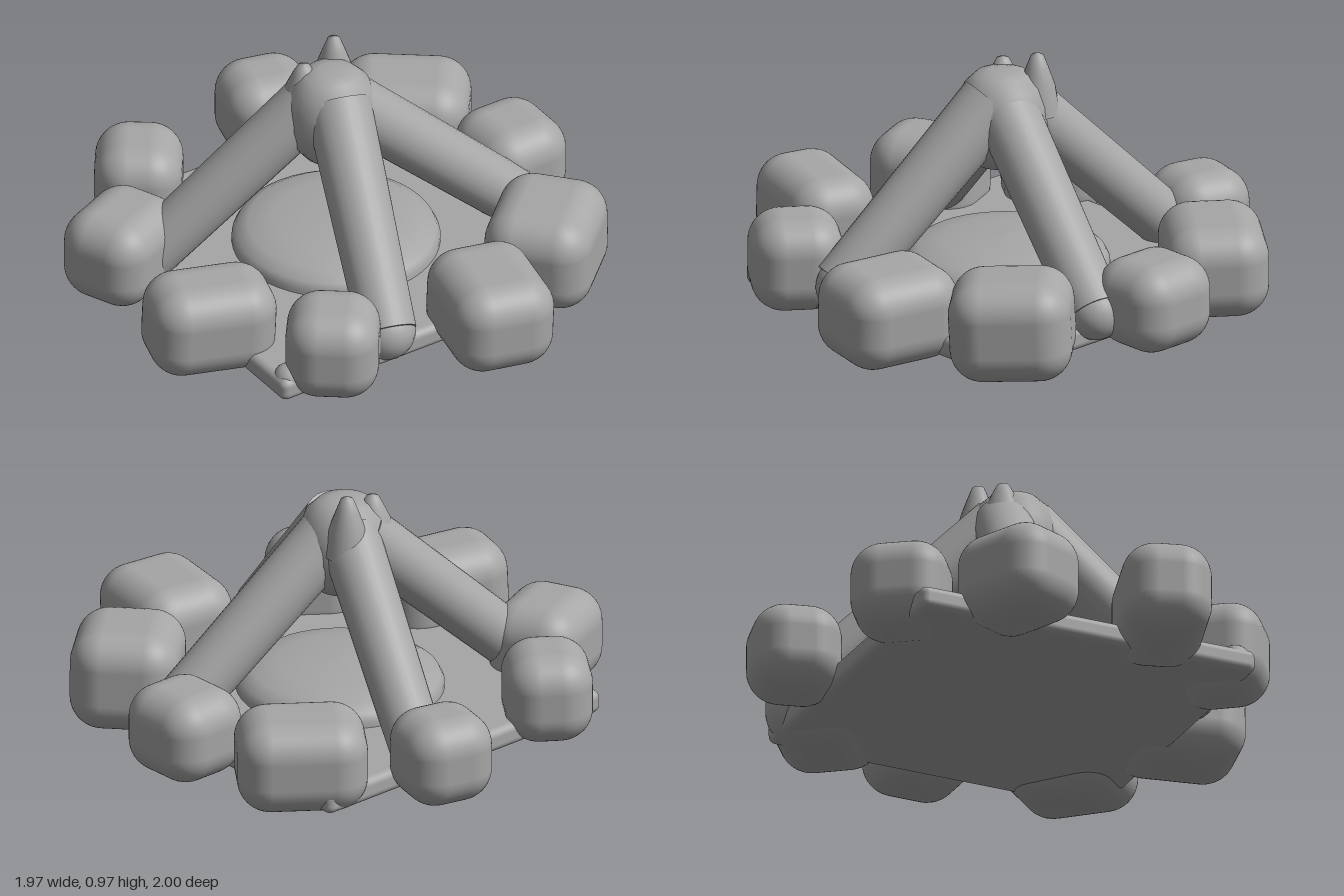
import * as THREE from 'three';
import { RoundedBoxGeometry } from 'three/addons/geometries/RoundedBoxGeometry.js';

const stoneGrey = new THREE.MeshStandardMaterial({ color: 0xa6a6a6 });
stoneGrey.name = 'stoneGrey';

export function createModel() {
  const group = new THREE.Group();
  group.name = 'campfire';

  const add = (name, geometry, x, y, z) => {
    const mesh = new THREE.Mesh(geometry, stoneGrey);
    mesh.name = name;
    mesh.position.set(x, y, z);
    group.add(mesh);
    return mesh;
  };

  const lathe = (points, sides) =>
    new THREE.LatheGeometry(points.map(([r, y]) => new THREE.Vector2(r, y)), sides);

  // Square ground slab
  add('groundSlab', new RoundedBoxGeometry(1.37, 0.09, 1.38, 3, 0.03), 0, 0.095, -0.03);

  // Round cushion of ash
  const moundProfile = [[0.39, 0.11], [0.39, 0.16], [0.375, 0.19], [0.33, 0.22], [0.24, 0.24], [0.12, 0.25], [0, 0.255]];
  add('ashMound', lathe(moundProfile, 48), 0.01, 0, -0.03);

  // Ring of stones: x, z, width, depth, turn, bottom, top, tilt
  const stones = [
    [0.22, -0.825, 0.35, 0.34, -0.25, 0.03, 0.375, 0],
    [0.635, -0.505, 0.49, 0.39, -0.65, 0.03, 0.385, 0],
    [0.8, -0.04, 0.36, 0.38, 0, 0.045, 0.385, 0],
    [0.6, 0.5, 0.46, 0.41, 0.72, 0.015, 0.4, 0.05],
    [0.185, 0.745, 0.4, 0.475, -0.2, 0.03, 0.39, -0.04],
    [-0.44, 0.625, 0.35, 0.35, -0.65, 0.03, 0.39, 0],
    [-0.74, 0.24, 0.485, 0.34, -0.29, 0.035, 0.4, -0.04],
    [-0.735, -0.35, 0.42, 0.36, 0.4, 0.03, 0.385, 0],
    [-0.435, -0.69, 0.37, 0.33, 0.95, 0.04, 0.39, 0],
  ];
  stones.forEach(([x, z, w, d, turn, bottom, top, tilt], i) => {
    const geometry = new RoundedBoxGeometry(w, top - bottom, d, 6, 0.125);
    const stone = add('stone' + (i + 1), geometry, x, (top + bottom) / 2, z);
    stone.rotation.set(0, turn, tilt);
  });

  // Cylinder running between two points
  const addLog = (name, foot, head, footRadius, headRadius) => {
    const a = new THREE.Vector3(...foot);
    const b = new THREE.Vector3(...head);
    const direction = b.clone().sub(a);
    const middle = a.clone().add(b).multiplyScalar(0.5);
    const geometry = new THREE.CylinderGeometry(headRadius, footRadius, direction.length(), 28);
    const log = add(name, geometry, middle.x, middle.y, middle.z);
    log.quaternion.setFromUnitVectors(new THREE.Vector3(0, 1, 0), direction.normalize());
  };

  // Four logs leaning together
  addLog('backLog', [0.21, 0.18, -0.68], [0.015, 0.79, -0.08], 0.105, 0.115);
  addLog('leftLog', [0.68, 0.18, 0.145], [0.02, 0.78, -0.01], 0.11, 0.12);
  addLog('frontLog', [-0.195, 0.17, 0.625], [-0.015, 0.79, 0.02], 0.11, 0.125);
  addLog('rightLog', [-0.65, 0.18, -0.29], [-0.04, 0.775, -0.08], 0.105, 0.115);

  // Worn lumps where the log feet meet the ground and stones
  const feet = [[0.68, 0.18, 0.145, 0.105], [-0.19, 0.165, 0.61, 0.11], [-0.62, 0.11, 0.6, 0.06]];
  feet.forEach(([x, y, z, r], i) => add('footLump' + (i + 1), new THREE.SphereGeometry(r, 20, 14), x, y, z));

  // Fused log tops
  const hubProfile = [[0, 0.52], [0.11, 0.55], [0.165, 0.62], [0.18, 0.7], [0.17, 0.78], [0.145, 0.85], [0.1, 0.895], [0.05, 0.908], [0, 0.908]];
  add('logHub', lathe(hubProfile, 32), -0.01, 0, -0.03);

  // Splintered tips: x, top, z, radius, height
  const tips = [['tallTip', 0.07, 0.975, -0.135, 0.085, 0.24], ['shortTip', -0.085, 0.925, -0.105, 0.085, 0.18]];
  for (const [name, x, top, z, r, h] of tips) {
    const profile = [[r, -h], [r * 0.8, -h * 0.55], [r * 0.5, -h * 0.25], [r * 0.28, -h * 0.05], [0, 0]];
    add(name, lathe(profile, 20), x, top, z);
  }

  return group;
}
